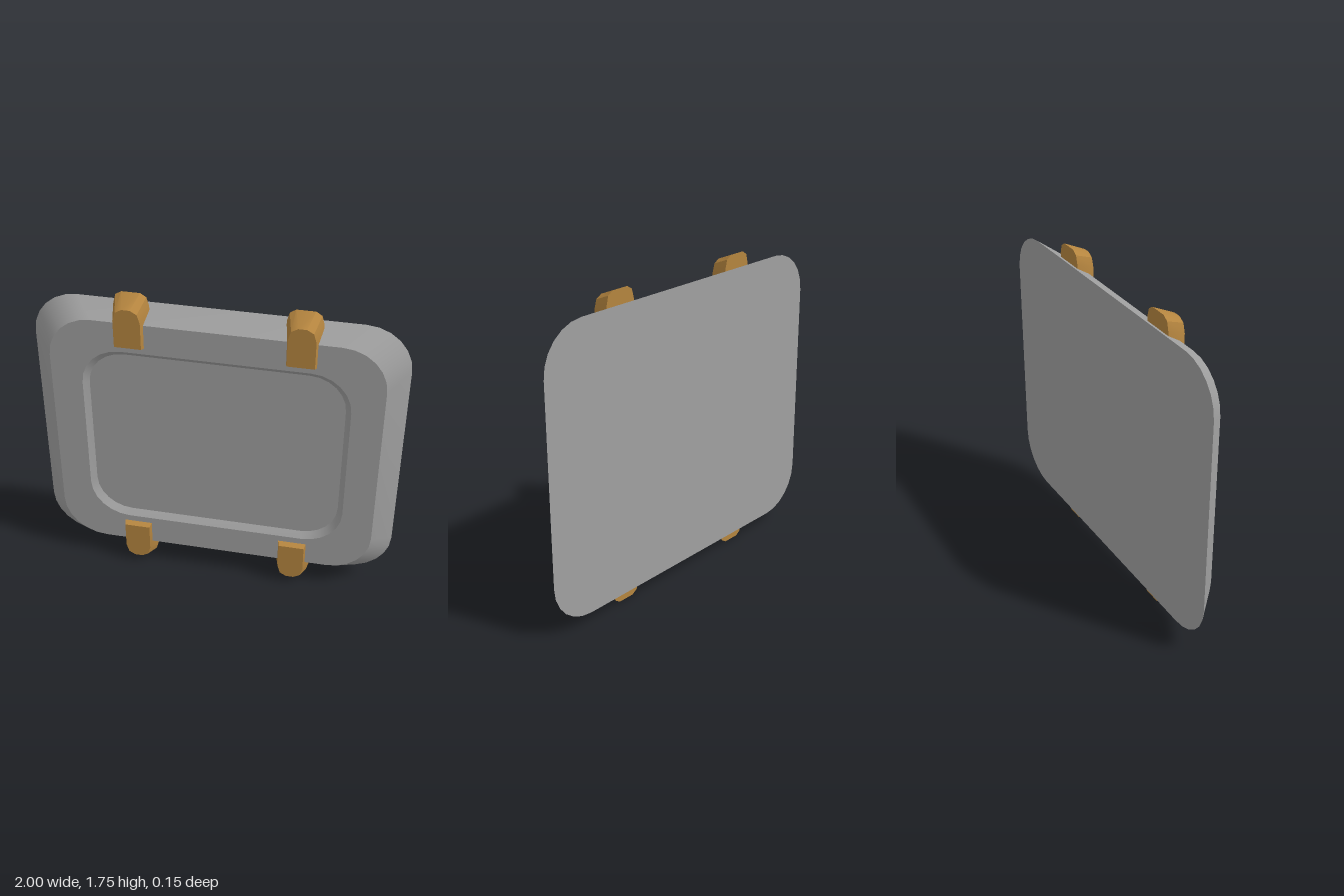
import * as THREE from 'three';
import { toCreasedNormals } from 'three/addons/utils/BufferGeometryUtils.js';

const MID_Y = 0.877;

// Skins a list of equal-length rings, ordered back to front, each anticlockwise from the front
function loft(rings) {
  const pos = [];
  const n = rings[0].length;
  const tri = (a, b, c) => {
    const area = b.clone().sub(a).cross(c.clone().sub(a)).length();
    if (area > 1e-9) pos.push(...a.toArray(), ...b.toArray(), ...c.toArray());
  };
  for (let k = 0; k < rings.length - 1; k++) {
    const a = rings[k], b = rings[k + 1];
    for (let i = 0; i < n; i++) {
      const j = (i + 1) % n;
      tri(a[i], a[j], b[j]);
      tri(a[i], b[j], b[i]);
    }
  }
  const geo = new THREE.BufferGeometry();
  geo.setAttribute('position', new THREE.Float32BufferAttribute(pos, 3));
  return toCreasedNormals(geo, 0.5);
}

// Rounded rectangle ring around the origin
function roundedRing(w, h, r, z, segments = 6) {
  const pts = [];
  for (let q = 0; q < 4; q++) {
    const sx = q === 0 || q === 3 ? 1 : -1;
    const sy = q < 2 ? 1 : -1;
    for (let i = 0; i <= segments; i++) {
      const a = (q + i / segments) * Math.PI / 2;
      pts.push(new THREE.Vector3(sx * (w - r) + r * Math.cos(a), sy * (h - r) + r * Math.sin(a), z));
    }
  }
  return pts;
}

// Clip cross-section: square at the inner end, faceted round at the outer end
function clipRing(w, bottom, top, rx, ry, z, segments = 2) {
  const pts = [new THREE.Vector3(-w, bottom, z), new THREE.Vector3(w, bottom, z)];
  for (const side of [1, -1]) {
    for (let i = 0; i <= segments; i++) {
      const a = (side > 0 ? i : segments - i) / segments * Math.PI / 2;
      pts.push(new THREE.Vector3(side * (w - rx + rx * Math.cos(a)), top - ry + ry * Math.sin(a), z));
    }
  }
  return pts;
}

// Collapsed ring that closes a loft
const capRing = (ring, y) => ring.map((p) => new THREE.Vector3(0, y, p.z));

export function createModel() {
  const model = new THREE.Group();
  model.name = 'framedPanel';
  const grey = new THREE.MeshStandardMaterial({ color: 0xa0a0a0 });
  const brass = new THREE.MeshStandardMaterial({ color: 0xb5853f });

  // Bevelled plate with a shallow recess in its face
  const plateRings = [
    roundedRing(1, 0.81, 0.25, -0.075),
    roundedRing(0.89, 0.733, 0.24, 0.04),
    roundedRing(0.72, 0.56, 0.22, 0.04),
    roundedRing(0.69, 0.527, 0.2, 0.01),
  ];
  const plate = new THREE.Mesh(
    loft([capRing(plateRings[0], 0), ...plateRings, capRing(plateRings[3], 0)]), grey);
  plate.name = 'plate';
  plate.position.y = MID_Y;
  model.add(plate);

  // Four tapered clips over the long edges
  const back = clipRing(0.095, 0.573, 0.877, 0.045, 0.07, -0.037);
  const front = clipRing(0.072, 0.607, 0.832, 0.05, 0.07, 0.072);
  const clipGeometry = loft([capRing(back, 0.72), back, front, capRing(front, 0.72)]);
  for (const end of ['top', 'bottom']) {
    for (const side of [1, -1]) {
      const clip = new THREE.Mesh(clipGeometry, brass);
      clip.name = end + (side > 0 ? 'Left' : 'Right') + 'Clip';
      clip.position.set(side * 0.45, MID_Y, 0);
      if (end === 'bottom') {
        clip.rotation.z = Math.PI;
      }
      model.add(clip);
    }
  }
  return model;
}
